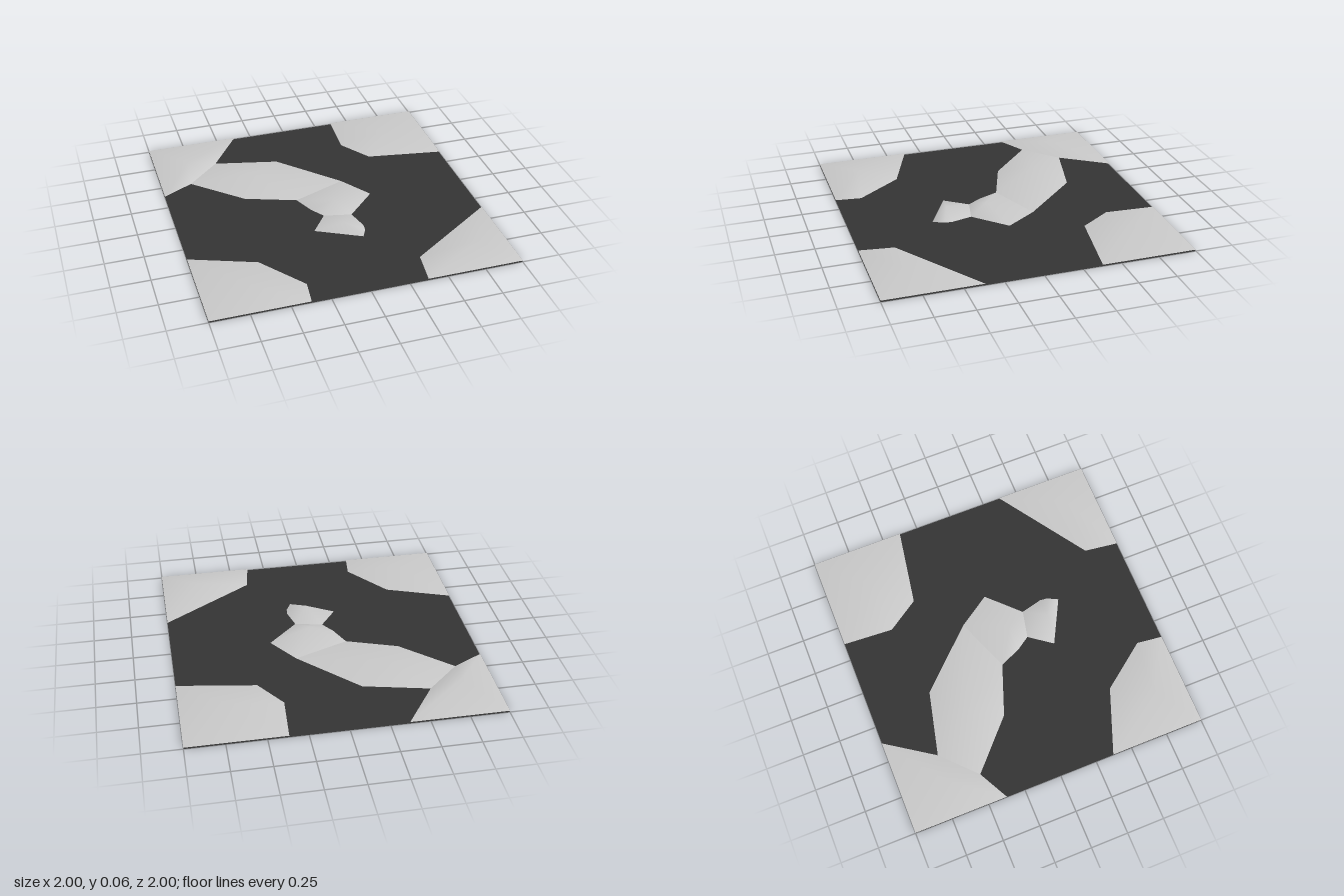
import * as THREE from 'three';

const BASE_Y = 0.01;
const PEAK_Y = 0.06;

// Low mound: a polygon outline [x, z] rising to one peak, with smooth normals
function makeMound(name, peak, outline, material) {
  const points = outline.map(([x, z]) => new THREE.Vector2(x, z));
  if (THREE.ShapeUtils.area(points) > 0) points.reverse(); // keep faces upward
  const positions = [peak[0], PEAK_Y, peak[1]];
  const index = [];
  points.forEach((p, i) => {
    positions.push(p.x, BASE_Y, p.y);
    index.push(0, i + 1, ((i + 1) % points.length) + 1);
  });
  const geometry = new THREE.BufferGeometry();
  geometry.setAttribute('position', new THREE.Float32BufferAttribute(positions, 3));
  geometry.setIndex(index);
  geometry.computeVertexNormals();
  const mesh = new THREE.Mesh(geometry, material);
  mesh.name = name;
  return mesh;
}

export function createModel() {
  const group = new THREE.Group();
  group.name = 'groundTile';

  const darkGround = new THREE.MeshStandardMaterial({ color: 0x343434, side: THREE.DoubleSide });
  darkGround.name = 'dark ground';
  const paleStone = new THREE.MeshStandardMaterial({ color: 0xcacaca });
  paleStone.name = 'pale stone';

  // Flat square ground sheet
  const ground = new THREE.Mesh(new THREE.PlaneGeometry(2, 2).rotateX(-Math.PI / 2), darkGround);
  ground.name = 'ground';
  group.add(ground);

  // Mounds: four at the corners, three chained through the middle
  const mounds = [
    ['backRightCornerMound', [-0.78, -0.69],
      [[-1, -1], [-0.37, -1], [-0.58, -0.69], [-0.8, -0.48], [-1, -0.375]]],
    ['backLeftCornerMound', [0.69, -0.69],
      [[1, -1], [0.37, -1], [0.35, -0.67], [0.49, -0.46], [1, -0.375]]],
    ['frontRightCornerMound', [-0.71, 0.78],
      [[-1, 1], [-0.375, 1], [-0.355, 0.83], [-0.58, 0.53], [-1, 0.37]]],
    ['frontLeftCornerMound', [0.78, 0.78],
      [[1, 1], [0.37, 1], [0.4, 0.775], [1, 0.37]]],
    ['largeMiddleMound', [-0.38, -0.41],
      [[-0.8, -0.48], [-0.58, -0.69], [-0.16, -0.59], [0.2, -0.21], [-0.16, -0.07], [-0.49, -0.19]]],
    ['centreMound', [0.06, 0.07],
      [[-0.16, -0.07], [0.2, -0.21], [0.34, 0], [0.14, 0.2], [-0.04, 0.16], [-0.1, 0.07]]],
    ['smallMiddleMound', [0.04, 0.34],
      [[-0.04, 0.16], [0.14, 0.2], [0.175, 0.34], [0.17, 0.39], [0.135, 0.46], [-0.15, 0.31]]],
  ];
  for (const [name, peak, outline] of mounds) {
    group.add(makeMound(name, peak, outline, paleStone));
  }

  return group;
}
